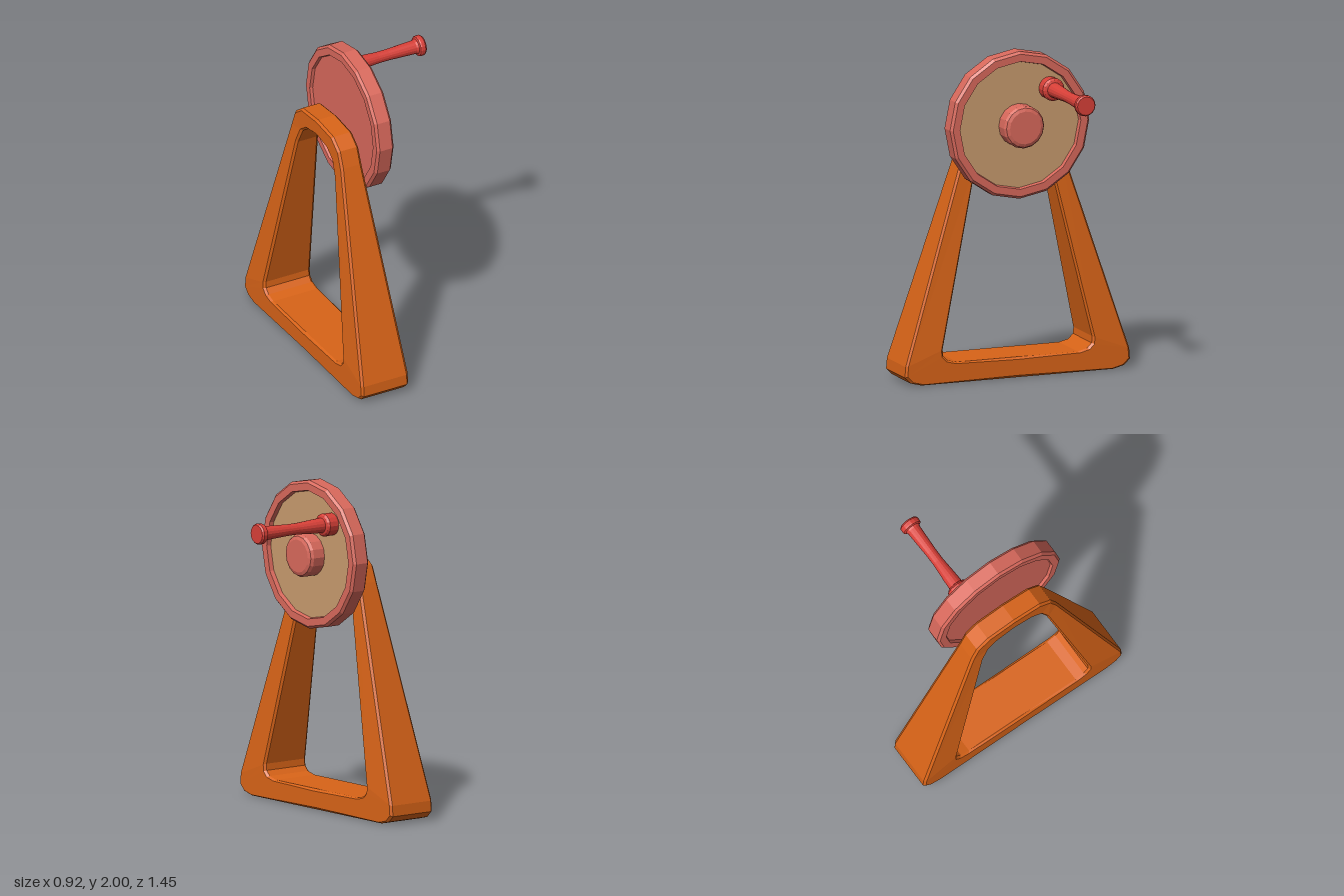
import * as THREE from 'three';

const paint = (color) => new THREE.MeshStandardMaterial({ color, flatShading: true });
const ORANGE = paint(0xd96418), CORAL = paint(0xd9695c), TAN = paint(0xc89b6e), RED = paint(0xd84038);

// Turned part whose axis runs along x; profile is a list of [radius, x]
function turned(name, profile, material, y, z, sides = 16) {
  const points = profile.map(([r, x]) => new THREE.Vector2(r, x));
  const mesh = new THREE.Mesh(new THREE.LatheGeometry(points, sides), material);
  mesh.name = name;
  mesh.rotation.z = -Math.PI / 2;
  mesh.position.set(0, y, z);
  return mesh;
}

// Closed A-shaped loop: chamfered section swept through outer/inner pairs
function frameGeometry() {
  // outer z, outer y, inner z, inner y
  const half = [
    [0, 0, 0, 0.125],
    [0.62, 0, 0.39, 0.125],
    [0.69, 0.018, 0.45, 0.14],
    [0.727, 0.055, 0.48, 0.17],
    [0.722, 0.12, 0.483, 0.21],
    [0.31, 1.4, 0.235, 1.3],
    [0.27, 1.5, 0.19, 1.4],
    [0.19, 1.56, 0.12, 1.45],
    [0, 1.578, 0, 1.47],
  ];
  const mirrored = half.slice(1, -1).reverse().map(([a, b, c, d]) => [-a, b, -c, d]);
  const stations = [...half, ...mirrored];
  const halfWidth = (y) => THREE.MathUtils.lerp(0.16, 0.07, THREE.MathUtils.clamp((y - 0.2) / 1.2, 0, 1));
  const bevel = 0.014;
  const positions = [], index = [];

  stations.forEach(([oz, oy, iz, iy], i) => {
    const t = bevel / Math.hypot(iz - oz, iy - oy);
    // depth from outer to inner edge, side, inset of the flat from the side
    const ring = [
      [0, -1, bevel], [0, 1, bevel], [t, 1, 0], [1 - t, 1, 0],
      [1, 1, bevel], [1, -1, bevel], [1 - t, -1, 0], [t, -1, 0],
    ];
    ring.forEach(([k, side, inset], j) => {
      const y = oy + (iy - oy) * k;
      positions.push(-0.3 + side * (halfWidth(y) - inset), y, oz + (iz - oz) * k);
      const next = (i + 1) % stations.length, m = (j + 1) % 8;
      const a = i * 8 + j, b = i * 8 + m, c = next * 8 + m, d = next * 8 + j;
      index.push(a, b, c, a, c, d);
    });
  });

  const geometry = new THREE.BufferGeometry();
  geometry.setAttribute('position', new THREE.Float32BufferAttribute(positions, 3));
  geometry.setIndex(index);
  geometry.computeVertexNormals();
  return geometry;
}

export function createModel() {
  const model = new THREE.Group();
  model.name = 'crankWheelOnStand';

  const stand = new THREE.Mesh(frameGeometry(), ORANGE);
  stand.name = 'stand';
  model.add(stand);

  const wheelY = 1.55, wheelZ = 0.007;
  const wheel = new THREE.Group();
  wheel.name = 'wheel';
  wheel.add(
    // rim with a shallow recessed back
    turned('rim', [
      [0, -0.185], [0.385, -0.185], [0.39, -0.203], [0.435, -0.203], [0.45, -0.188],
      [0.45, -0.103], [0.435, -0.088], [0.39, -0.088], [0.385, -0.115],
    ], CORAL, wheelY, wheelZ),
    turned('facePlate', [[0.387, -0.115], [0, -0.115]], TAN, wheelY, wheelZ),
    turned('hub', [
      [0.13, -0.12], [0.13, -0.035], [0.12, -0.018], [0.1, -0.01], [0, -0.01],
    ], CORAL, wheelY, wheelZ),
  );
  model.add(wheel);

  // crank handle with collar, waisted grip and end knob
  model.add(turned('handle', [
    [0.068, -0.12], [0.07, -0.05], [0.06, -0.037], [0.046, -0.032], [0.043, 0.03],
    [0.035, 0.15], [0.035, 0.22], [0.043, 0.4], [0.048, 0.413], [0.06, 0.418],
    [0.064, 0.426], [0.064, 0.448], [0.056, 0.459], [0, 0.459],
  ], RED, 1.76, -0.19));

  return model;
}
